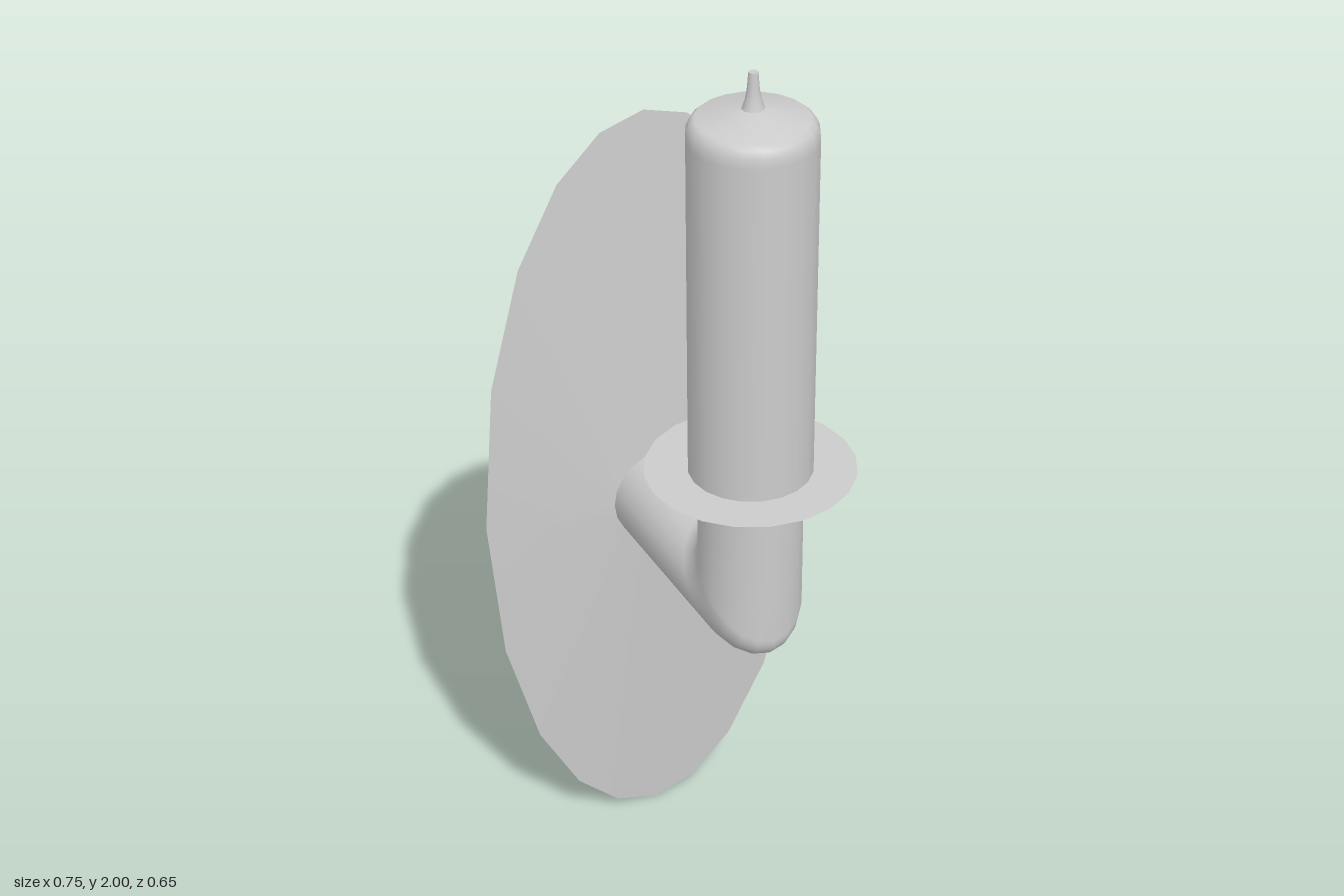
import * as THREE from 'three';

const SIDES = 20;
const AXIS_Z = 0.12;   // candle axis
const ARM_Y = 0.867;   // arm axis
const ARM_R = 0.104;
const material = new THREE.MeshStandardMaterial({ color: 0xcccccc, side: THREE.DoubleSide });

// Skin a series of closed rings, each an array of SIDES points
function loft(rings) {
  const positions = rings.flat().flatMap((p) => [p.x, p.y, p.z]);
  const index = [];
  for (let i = 0; i < rings.length - 1; i++) {
    for (let j = 0; j < SIDES; j++) {
      const a = i * SIDES + j, b = i * SIDES + (j + 1) % SIDES;
      index.push(a, a + SIDES, b, b, a + SIDES, b + SIDES);
    }
  }
  const geometry = new THREE.BufferGeometry();
  geometry.setAttribute('position', new THREE.Float32BufferAttribute(positions, 3));
  geometry.setIndex(index);
  geometry.computeVertexNormals();
  return geometry;
}

function ring(pointAt) {
  return Array.from({ length: SIDES }, (_, j) => pointAt((j / SIDES) * Math.PI * 2));
}

// Shallow oval dish with a round hole where the arm joins
function plateGeometry() {
  const rim = ring((a) => {
    const t = Math.atan2(0.8 * Math.sin(a), Math.cos(a));
    return new THREE.Vector3(0.375 * Math.sin(t), 0.867 + 0.865 * Math.cos(t), -0.325);
  });
  const hole = ring((a) => new THREE.Vector3(ARM_R * Math.sin(a), ARM_Y + ARM_R * Math.cos(a), -0.28));
  return loft([rim, hole]);
}

// Hollow elbow: every ring spans an inner-bend point and an outer-bend point
function armGeometry() {
  const top = ARM_Y + ARM_R, bottom = ARM_Y - ARM_R;
  const back = AXIS_Z - ARM_R, front = AXIS_Z + ARM_R;
  const inR = 0.06, outR = 0.055, steps = 8;
  const pairs = [[-0.28, top, -0.28, bottom], [back - inR - 0.03, top, back - inR - 0.03, bottom]];
  for (let i = 0; i <= steps; i++) {
    const t = (i / steps) * Math.PI / 2, s = Math.sin(t), c = Math.cos(t);
    pairs.push([
      back - inR + inR * s, top + inR - inR * c,
      front - outR + outR * s, bottom + outR - outR * c,
    ]);
  }
  pairs.push([back, 1.06, front, 1.06], [back, 1.11, front, 1.11]);
  return loft(pairs.map(([zi, yi, zo, yo]) => ring((a) => new THREE.Vector3(
    ARM_R * Math.sin(a),
    (yi + yo) / 2 + (yi - yo) / 2 * Math.cos(a),
    (zi + zo) / 2 + (zi - zo) / 2 * Math.cos(a),
  ))));
}

function lathe(points, sides = SIDES) {
  const geometry = new THREE.LatheGeometry(points.map(([r, y]) => new THREE.Vector2(r, y)), sides);
  return geometry.translate(0, 0, AXIS_Z);
}

export function createModel() {
  const model = new THREE.Group();
  model.name = 'candleSconce';
  const add = (name, geometry) => {
    const mesh = new THREE.Mesh(geometry, material);
    mesh.name = name;
    model.add(mesh);
  };

  add('wallPlate', plateGeometry());
  add('arm', armGeometry());

  // Drip pan: flared underside with a flat top
  add('dripPanUnderside', lathe([[0, 1.1], [ARM_R, 1.1]]));
  add('dripPanFlare', lathe([[ARM_R, 1.1], [0.207, 1.17]]));
  add('dripPanTop', lathe([[0.207, 1.17], [0, 1.17]]));

  // Candle with softened shoulder and slightly conical top
  add('candle', lathe([
    [0.122, 1.165], [0.122, 1.87], [0.121, 1.888], [0.115, 1.902], [0.105, 1.911], [0.02, 1.93], [0, 1.932],
  ]));
  add('wick', lathe([[0.022, 1.928], [0.016, 1.945], [0.012, 1.965], [0.009, 2]], 10));
  add('wickTip', lathe([[0.009, 2], [0, 2]], 10));
  return model;
}
